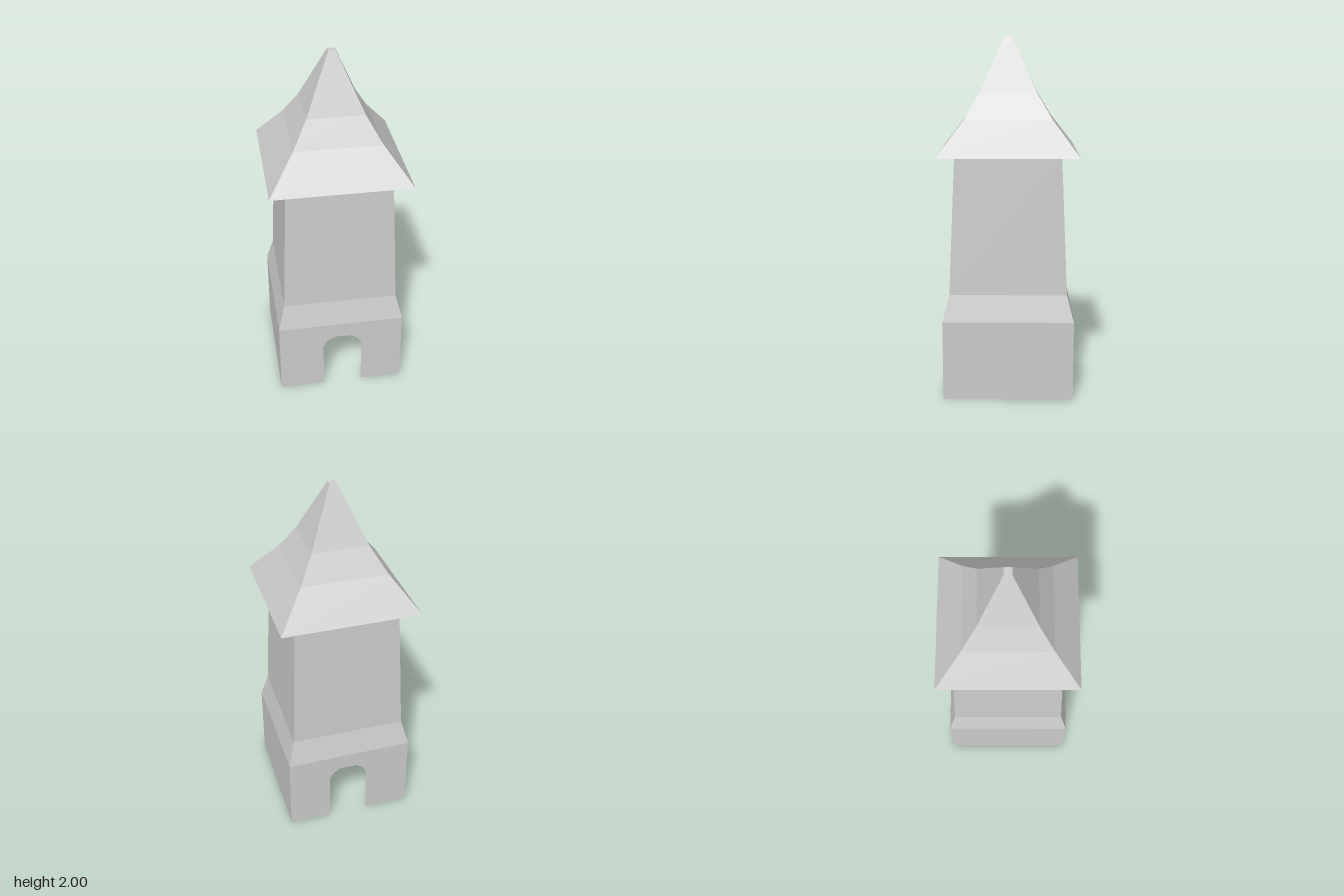
import * as THREE from 'three';

const material = new THREE.MeshStandardMaterial({
  color: 0xcccccc, flatShading: true, side: THREE.DoubleSide,
});

function addMesh(parent, name, geometry) {
  const mesh = new THREE.Mesh(geometry, material);
  mesh.name = name;
  parent.add(mesh);
  return mesh;
}

// Open square tier between two [halfWidth, height] levels
function squareTier([w0, y0], [w1, y1]) {
  const geometry = new THREE.CylinderGeometry(
    w1 * Math.SQRT2, w0 * Math.SQRT2, y1 - y0, 4, 1, true, Math.PI / 4);
  return geometry.translate(0, (y0 + y1) / 2, 0);
}

function addTiers(parent, name, levels) {
  for (let i = 0; i < levels.length - 1; i++) {
    addMesh(parent, name + (i + 1), squareTier(levels[i], levels[i + 1]));
  }
}

// Wall outline with a faceted arch cut up from the ground
function archedWall(half, height, doorX) {
  const arch = [[-0.113, 0], [-0.113, 0.29], [-0.091, 0.33], [-0.047, 0.357],
    [0.047, 0.357], [0.091, 0.33], [0.113, 0.29], [0.113, 0]];
  const outline = [[-half, 0], ...arch.map(([x, y]) => [x + doorX, y]),
    [half, 0], [half, height], [-half, height]];
  return new THREE.ShapeGeometry(
    new THREE.Shape(outline.map(([x, y]) => new THREE.Vector2(x, y))));
}

export function createModel() {
  const model = new THREE.Group();
  model.name = 'watchTower';
  const half = 0.362, baseTop = 0.45, doorX = 0.009, eaves = 1.36;

  // Base: arched walls front and back, plain walls at the sides
  const base = new THREE.Group();
  base.name = 'base';
  model.add(base);
  addMesh(base, 'frontArchWall', archedWall(half, baseTop, doorX).translate(0, 0, half));
  addMesh(base, 'backArchWall',
    archedWall(half, baseTop, -doorX).translate(0, 0, half).rotateY(Math.PI));
  for (const side of [1, -1]) {
    addMesh(base, side > 0 ? 'leftWall' : 'rightWall',
      new THREE.PlaneGeometry(2 * half, baseTop)
        .translate(0, baseTop / 2, half).rotateY(side * Math.PI / 2));
  }

  // Sloped shoulder and tapering shaft
  const shaft = new THREE.Group();
  shaft.name = 'shaft';
  model.add(shaft);
  addTiers(shaft, 'shaftTier', [[half, baseTop], [0.324, 0.595], [0.29, eaves]]);

  // Flared roof, open underneath, with a small flat tip
  const roof = new THREE.Group();
  roof.name = 'roof';
  model.add(roof);
  addTiers(roof, 'roofTier', [[0.385, eaves], [0.24, 1.55], [0.157, 1.69], [0.02, 2]]);
  addMesh(roof, 'roofTip',
    new THREE.PlaneGeometry(0.04, 0.04).rotateX(-Math.PI / 2).translate(0, 2, 0));

  return model;
}
